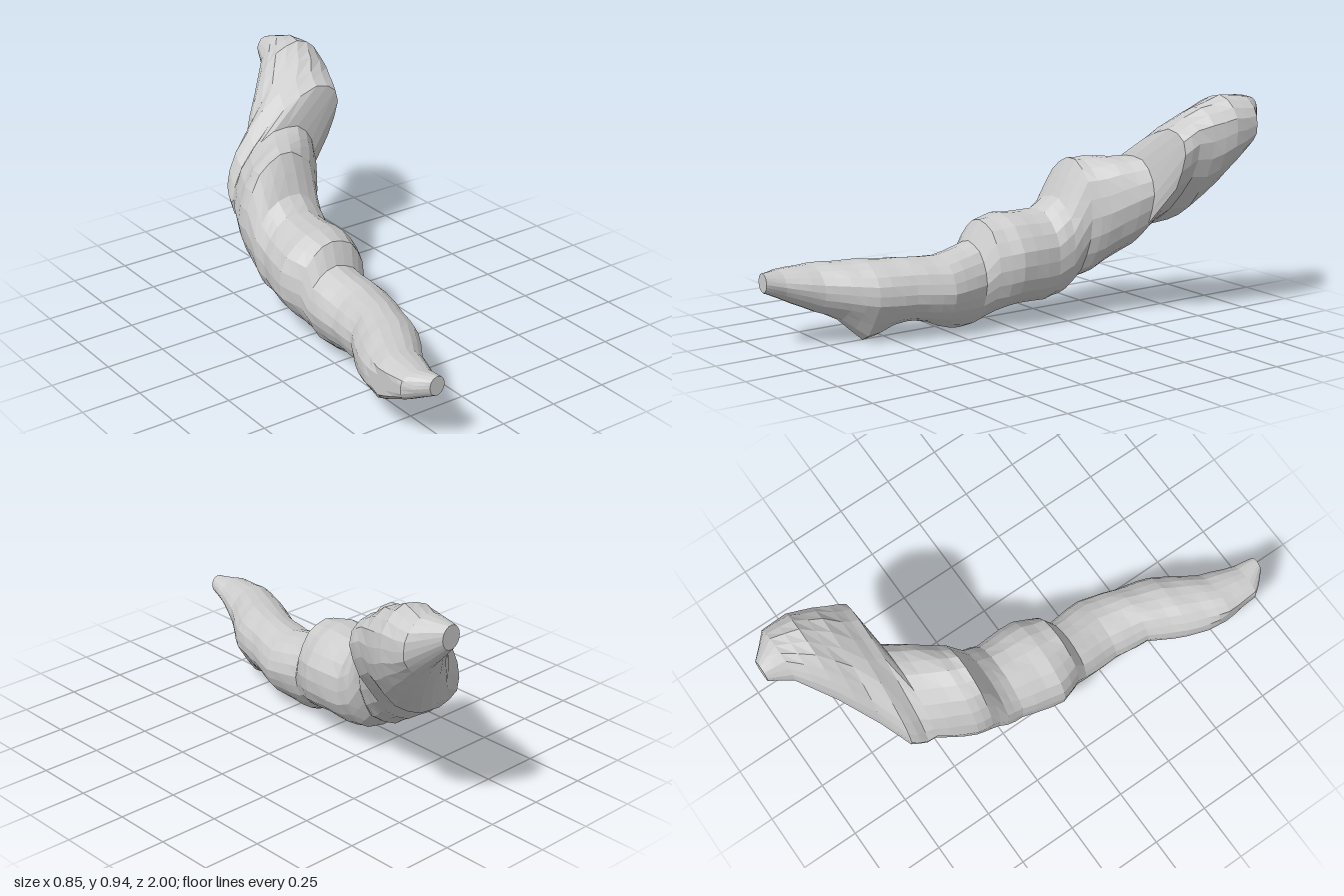
import * as THREE from 'three';

// Key cross-sections from the front tip to the rear tip:
// [z, xMin, xMax, yMin, yMax, diagonal lean]
const KEYS = [
  [1, -0.36, -0.29, 0.24, 0.32, 0],
  [0.92, -0.44, -0.27, 0.2, 0.32, 0],
  [0.78, -0.46, -0.21, 0.13, 0.33, 0],
  [0.6, -0.4, -0.09, 0.08, 0.34, 0],
  [0.45, -0.32, -0.05, 0.075, 0.34, 0],
  [0.3, -0.3, 0, 0.06, 0.335, 0],
  [0.14, -0.305, -0.02, 0.05, 0.37, 0],
  [0.095, -0.31, 0.01, 0.06, 0.46, 0],
  [0, -0.35, 0.055, 0.08, 0.475, 0],
  [-0.18, -0.305, 0.05, 0.083, 0.475, 0],
  [-0.25, -0.3, 0.055, 0.09, 0.53, 0.05],
  [-0.325, -0.295, 0.07, 0.14, 0.685, 0.1],
  [-0.39, -0.29, 0.12, 0.17, 0.685, 0.15],
  [-0.54, -0.215, 0.21, 0.27, 0.69, 0.3],
  [-0.575, -0.205, 0.36, 0.295, 0.82, 0.65],
  [-0.64, -0.19, 0.38, 0.34, 0.865, 0.65],
  [-0.7, -0.06, 0.395, 0.39, 0.905, 0.5],
  [-0.8, 0.06, 0.425, 0.55, 0.95, 0.3],
  [-0.91, 0.18, 0.415, 0.71, 0.945, 0],
  [-1, 0.22, 0.31, 0.82, 0.92, 0],
];
const SIDES = 20;
const SPACING = 0.06;

// Fill the gaps between key sections with evenly blended ones
function blendedSections() {
  const sections = [KEYS[0]];
  for (let k = 1; k < KEYS.length; k++) {
    const from = KEYS[k - 1], to = KEYS[k];
    const steps = Math.ceil((from[0] - to[0]) / SPACING);
    for (let s = 1; s <= steps; s++) {
      sections.push(from.map((v, n) => THREE.MathUtils.lerp(v, to[n], s / steps)));
    }
  }
  return sections;
}

// Depth of the two knobs on the underside
const bump = (z, centre, width) => Math.exp(-(((z - centre) / width) ** 2));
const knobDepth = (z) => 0.08 * bump(z, 0.59, 0.08) + 0.045 * bump(z, 0.2, 0.12);

// One point on a leaning, slightly lumpy ellipse
function sectionPoint([z, x0, x1, y0, y1, lean], k, i) {
  const t = (i / SIDES) * Math.PI * 2;
  const s = Math.sin(t + Math.asin(lean));
  const lump = 1 - 0.025 * (1 + Math.sin(3 * t + k * 1.9) * Math.sin(5 * t - k * 2.3));
  const x = (x0 + x1) / 2 + ((x1 - x0) / 2) * Math.cos(t) * lump;
  const y = (y0 + y1) / 2 + ((y1 - y0) / 2) * s * lump - knobDepth(z) * Math.max(0, -s) ** 6;
  // flat cut on the side of the front end
  return [Math.max(x, -0.43), Math.max(y, 0), z];
}

function loftGeometry() {
  const sections = blendedSections();
  const positions = [];
  const index = [];
  sections.forEach((section, k) => {
    for (let i = 0; i < SIDES; i++) positions.push(...sectionPoint(section, k, i));
  });
  const last = (sections.length - 1) * SIDES;
  for (let ring = 0; ring < last; ring += SIDES) {
    for (let i = 0; i < SIDES; i++) {
      const a = ring + i, b = a + SIDES;
      const c = ring + ((i + 1) % SIDES), d = c + SIDES;
      index.push(a, b, c, c, b, d);
    }
  }
  // flat end caps
  for (let i = 1; i < SIDES - 1; i++) {
    index.push(0, i, i + 1, last, last + i + 1, last + i);
  }
  const geometry = new THREE.BufferGeometry();
  geometry.setAttribute('position', new THREE.Float32BufferAttribute(positions, 3));
  geometry.setIndex(index);
  geometry.computeVertexNormals();
  return geometry;
}

export function createModel() {
  const group = new THREE.Group();
  group.name = 'gnarledBranch';
  const material = new THREE.MeshStandardMaterial({ color: 0xcccccc, flatShading: true });
  const branch = new THREE.Mesh(loftGeometry(), material);
  branch.name = 'branch';
  group.add(branch);
  return group;
}
